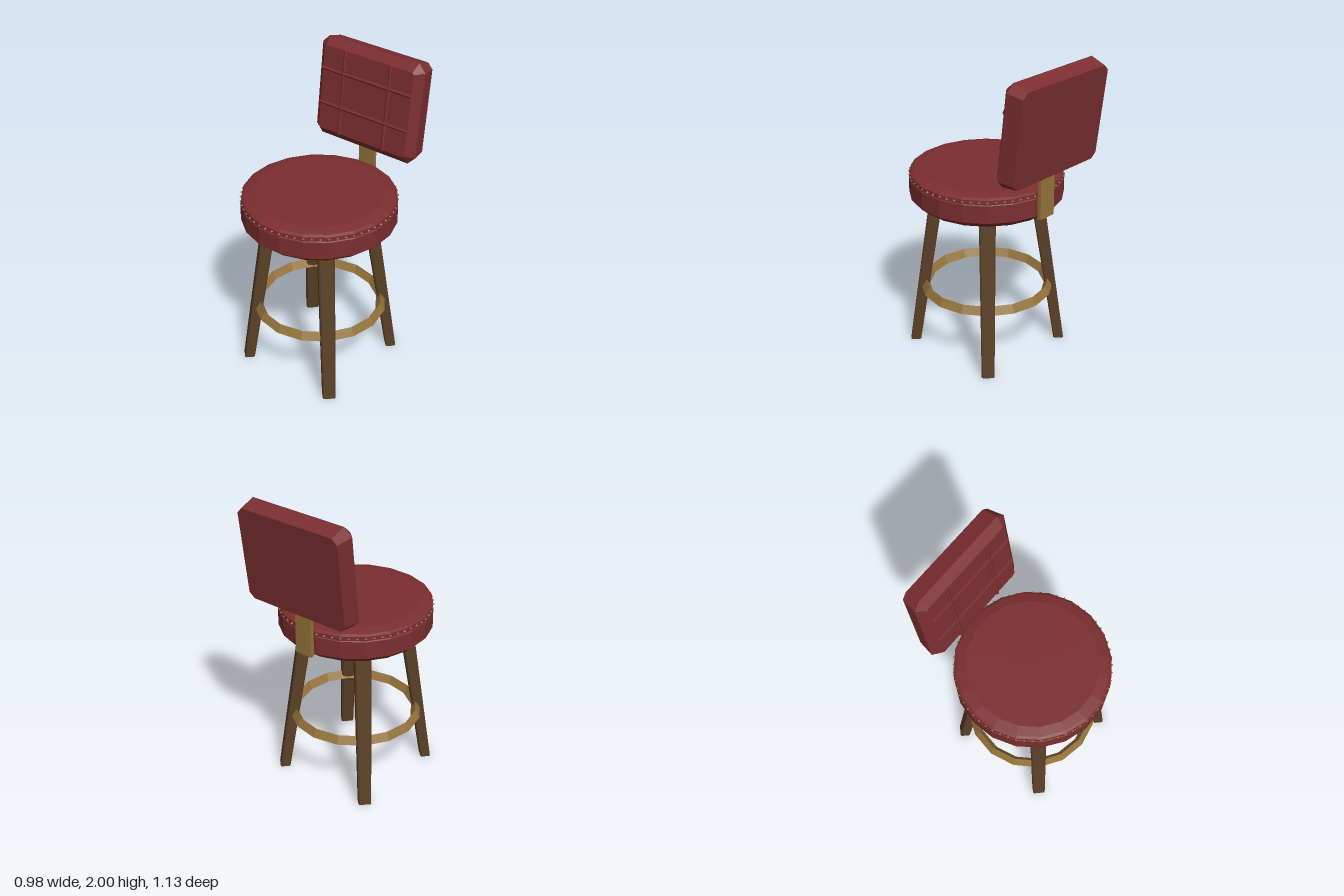
import * as THREE from 'three';
import { mergeGeometries } from 'three/addons/utils/BufferGeometryUtils.js';

const SEAT_Z = 0.08;

// Faceted normals
function flat(geo) {
  const g = geo.index ? geo.toNonIndexed() : geo;
  g.computeVertexNormals();
  return g;
}

// Rectangle with cut corners, counter-clockwise
function cutRect(hw, hh, c, z, cy = 0) {
  return [
    [hw, -hh + c], [hw, hh - c], [hw - c, hh], [-hw + c, hh],
    [-hw, hh - c], [-hw, -hh + c], [-hw + c, -hh], [hw - c, -hh],
  ].map(([x, y]) => [x, y + cy, z]);
}

// Skin cross-sections stacked along +z, with end caps
function loft(rings) {
  const n = rings[0].length, idx = [];
  for (let r = 0; r < rings.length - 1; r++) {
    for (let i = 0; i < n; i++) {
      const j = (i + 1) % n, a = r * n + i, b = r * n + j;
      idx.push(a, b, b + n, a, b + n, a + n);
    }
  }
  const last = (rings.length - 1) * n;
  for (let i = 1; i < n - 1; i++) {
    idx.push(0, i + 1, i, last, last + i, last + i + 1);
  }
  const g = new THREE.BufferGeometry();
  g.setAttribute('position', new THREE.Float32BufferAttribute(rings.flat(2), 3));
  g.setIndex(idx);
  return flat(g);
}

function lathe(points, sides, start = 0) {
  return flat(new THREE.LatheGeometry(points.map(([x, y]) => new THREE.Vector2(x, y)), sides, start));
}

export function createModel() {
  const leather = new THREE.MeshStandardMaterial({ color: 0x7b2e30 });
  const wood = new THREE.MeshStandardMaterial({ color: 0x5a4026 });
  const brass = new THREE.MeshStandardMaterial({ color: 0x94733a });
  leather.name = 'red leather';
  wood.name = 'dark wood';
  brass.name = 'brass';

  const model = new THREE.Group();
  model.name = 'barStool';
  const add = (parent, name, geo, mat) => {
    const m = new THREE.Mesh(geo, mat);
    m.name = name;
    parent.add(m);
    return m;
  };

  // Round base: seat, studs, legs and foot ring share one centre
  const base = new THREE.Group();
  base.name = 'base';
  base.position.z = SEAT_Z;
  model.add(base);

  // Seat cushion with a thin trim band near the top
  add(base, 'seat', lathe([
    [0, 1.04], [0.445, 1.04], [0.489, 1.08], [0.489, 1.195], [0.484, 1.2],
    [0.484, 1.228], [0.468, 1.238], [0.41, 1.252], [0, 1.257],
  ], 20, Math.PI / 20), leather);

  // Ring of studs on the trim band
  const studs = [];
  for (let i = 0; i < 60; i++) {
    const a = (i + 0.5) / 60 * Math.PI * 2;
    studs.push(new THREE.OctahedronGeometry(0.009).translate(0, 1.214, 0.483).rotateY(a));
  }
  add(base, 'seatStuds', flat(mergeGeometries(studs)), brass);

  // Four splayed, tapering legs turned to face outward
  for (let k = 0; k < 4; k++) {
    const g = loft([
      cutRect(0.041, 0.033, 0.008, 0, 0.477),
      cutRect(0.052, 0.042, 0.01, 1.06, 0.315),
    ]);
    g.rotateX(-Math.PI / 2).rotateY(Math.PI / 4 + k * Math.PI / 2);
    add(base, 'leg' + (k + 1), g, wood);
  }

  // Foot ring with a triangular section
  add(base, 'footRing', lathe([
    [0.433, 0.408], [0.403, 0.46], [0.373, 0.408], [0.433, 0.408],
  ], 16), brass);

  // Flat post joining seat and backrest
  add(model, 'backPost', new THREE.BoxGeometry(0.12, 0.36, 0.025).translate(0, 1.24, -0.418), brass);

  // Tilted backrest
  const back = new THREE.Group();
  back.name = 'backrest';
  back.position.set(0, 1.675, -0.447);
  back.rotation.x = -0.122;
  model.add(back);
  add(back, 'backCushion', loft([
    cutRect(0.365, 0.307, 0.035, -0.078),
    cutRect(0.385, 0.328, 0.05, 0.03),
    cutRect(0.335, 0.277, 0.012, 0.078),
  ]), leather);

  // Raised seams crossing the front of the cushion
  const seams = [];
  for (const s of [-1, 1]) {
    seams.push(new THREE.CylinderGeometry(0.013, 0.013, 0.56, 6).translate(s * 0.17, 0, 0.076));
    seams.push(new THREE.CylinderGeometry(0.013, 0.013, 0.67, 6)
      .rotateZ(Math.PI / 2).translate(0, 0.013 + s * 0.114, 0.076));
  }
  add(back, 'backSeams', flat(mergeGeometries(seams)), leather);

  return model;
}
